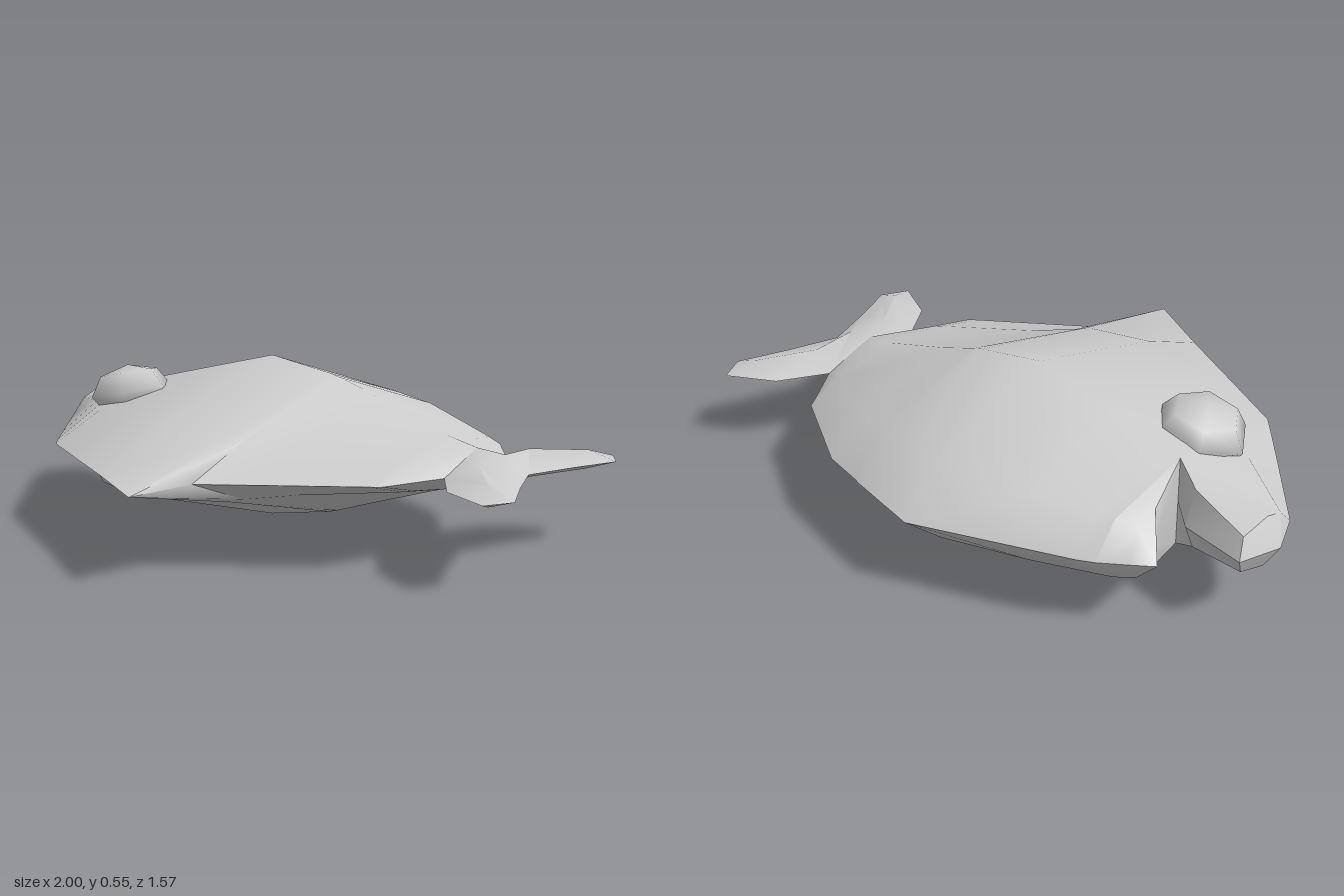
import * as THREE from 'three';
import { toCreasedNormals } from 'three/addons/utils/BufferGeometryUtils.js';

const MID = 0.277; // height of the symmetry plane

// Skins a row of half cross-sections (points [x, z, height above mid-plane]) and mirrors it below.
function loft(sections) {
  const pos = [];
  const tri = (a, b, c) => {
    const [p, q, r] = [a, b, c].map(([x, z, h]) => new THREE.Vector3(x, h, z));
    const area = q.clone().sub(p).cross(r.clone().sub(p)).length();
    if (area < 1e-6) return;
    for (const v of [p, q, r]) pos.push(v.x, MID + v.y, v.z);
    for (const v of [p, r, q]) pos.push(v.x, MID - v.y, v.z);
  };
  for (let i = 0; i < sections.length - 1; i++) {
    const s = sections[i], t = sections[i + 1];
    for (let j = 0; j < s.length - 1; j++) {
      tri(s[j], s[j + 1], t[j]);
      tri(s[j + 1], t[j + 1], t[j]);
    }
  }
  const g = new THREE.BufferGeometry();
  g.setAttribute('position', new THREE.Float32BufferAttribute(pos, 3));
  return toCreasedNormals(g, Math.PI / 4);
}

// Section across the body: belly edge, belly ridge, crest, back slope, back edge
const across = (x, z0, z1, h1, z2, h2, z3, h3, z4) =>
  [[x, z0, 0], [x, z1, h1], [x, z2, h2], [x, z3, h3], [x, z4, 0]];

export function createModel() {
  const group = new THREE.Group();
  const material = new THREE.MeshStandardMaterial({ color: 0xcccccc, side: THREE.DoubleSide });
  const add = (name, geometry) => {
    const mesh = new THREE.Mesh(geometry, material);
    mesh.name = name;
    group.add(mesh);
    return mesh;
  };

  // Flat body with the pointed back fin drawn out of its edge
  add('body', loft([
    across(-0.65, -0.585, -0.5, 0.1, -0.2, 0.15, 0.1, 0.09, 0.3),
    across(-0.6, -0.61, -0.52, 0.1, -0.2, 0.165, 0.12, 0.095, 0.36),
    across(-0.4, -0.685, -0.58, 0.115, -0.2, 0.212, 0.2, 0.112, 0.475),
    across(-0.12, -0.79, -0.65, 0.13, -0.2, 0.277, 0.36, 0.118, 0.635),
    across(0.12, -0.74, -0.61, 0.125, -0.2, 0.235, 0.33, 0.1, 0.78),
    across(0.155, -0.73, -0.6, 0.12, -0.2, 0.225, 0.31, 0.09, 0.55),
    across(0.29, -0.7, -0.56, 0.105, -0.2, 0.18, 0.22, 0.075, 0.46),
    across(0.58, -0.53, -0.42, 0.05, -0.17, 0.085, 0.08, 0.05, 0.27),
    across(0.61, -0.48, -0.38, 0.046, -0.165, 0.08, 0.06, 0.046, 0.25),
    across(0.695, -0.35, -0.255, 0.031, -0.155, 0.062, -0.06, 0.031, 0.04),
  ]));

  // Jaws either side of the open mouth
  add('upperJaw', loft([
    Array(5).fill([-1, -0.2, 0]),
    [[-0.95, -0.33, 0], [-0.935, -0.295, 0.06], [-0.95, -0.2, 0.085], [-0.95, -0.13, 0.06], [-0.95, -0.07, 0]],
    [[-0.74, -0.29, 0], [-0.735, -0.24, 0.1], [-0.74, -0.17, 0.125], [-0.74, 0.02, 0.085], [-0.74, 0.19, 0]],
    [[-0.65, -0.2, 0], [-0.65, -0.2, 0.15], [-0.65, -0.2, 0.15], [-0.65, 0.1, 0.09], [-0.65, 0.3, 0]],
  ]));
  add('lowerJaw', loft([
    Array(4).fill([-0.79, -0.49, 0]),
    [[-0.725, -0.535, 0], [-0.715, -0.48, 0.08], [-0.705, -0.39, 0.1], [-0.73, -0.42, 0]],
    [[-0.65, -0.585, 0], [-0.65, -0.5, 0.1], [-0.65, -0.2, 0.15], [-0.65, -0.2, 0]],
  ]));

  // Forked tail: one lobe listed from tip to root, the other mirrored about its axis
  const axis = -0.155;
  const lobe = [
    Array(3).fill([0.95, 0.43, 0]),
    [[0.79, 0.345, 0], [0.91, 0.325, 0.03], [1, 0.34, 0]],
    [[0.695, 0.195, 0], [0.79, 0.16, 0.045], [0.93, 0.17, 0]],
  ];
  const place = (sign) => lobe.map(s => s.map(([x, d, h]) => [x, axis + sign * d, h]));
  add('tail', loft([
    ...place(1),
    [[0.695, axis, 0.062], [0.79, axis, 0.052], [0.87, axis, 0]],
    ...place(-1).reverse(),
  ]));

  // Six-sided bulging eyes, one on each face
  for (const side of [1, -1]) {
    const eye = add(side > 0 ? 'topEye' : 'bottomEye', new THREE.SphereGeometry(0.15, 6, 4));
    eye.scale.set(1, 0.62, 0.96);
    eye.position.set(-0.59, MID + side * 0.133, -0.005);
    eye.rotation.z = side * 0.2;
  }
  return group;
}
